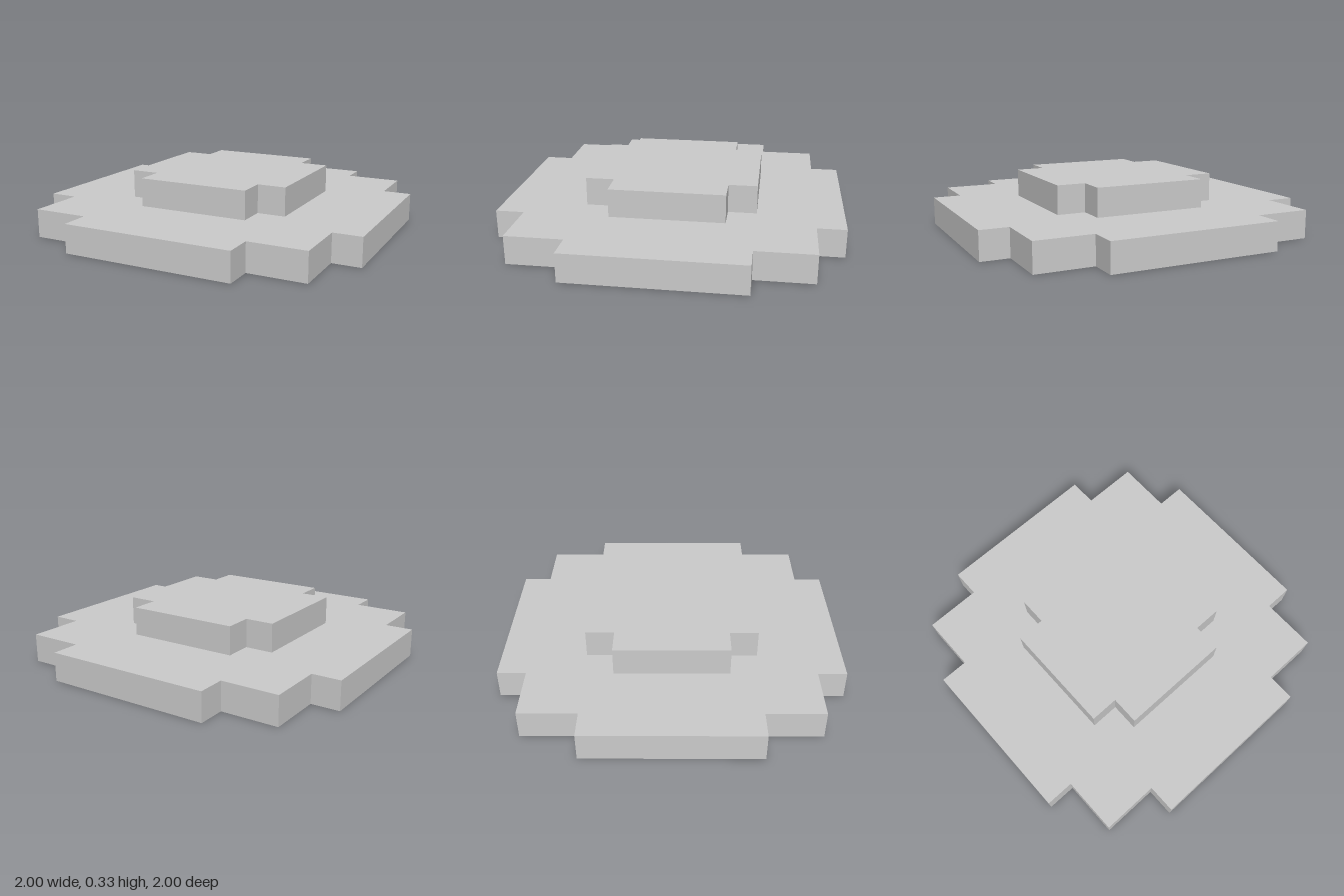
import * as THREE from 'three';

const U = 1 / 6; // one block unit

// Stepped slab: corner points of one quadrant (in units), turned four times about the centre
function steppedSlab(name, corner, bottom, material) {
  const points = [];
  for (let turn = 0; turn < 4; turn++) {
    for (const [x, y] of corner) {
      points.push(new THREE.Vector2(x * U, y * U).rotateAround(new THREE.Vector2(), turn * Math.PI / 2));
    }
  }
  const geometry = new THREE.ExtrudeGeometry(new THREE.Shape(points), { depth: U, bevelEnabled: false });
  geometry.rotateX(-Math.PI / 2);
  const mesh = new THREE.Mesh(geometry, material);
  mesh.name = name;
  mesh.position.y = bottom * U;
  return mesh;
}

export function createModel() {
  const group = new THREE.Group();
  group.name = 'steppedDisc';
  const material = new THREE.MeshStandardMaterial({ color: 0xcccccc, flatShading: true });

  // Wide lower tier, two steps at each corner
  group.add(steppedSlab('lowerTier', [[6, 3], [5, 3], [5, 5], [3, 5], [3, 6]], 0, material));
  // Small upper tier, one notch at each corner
  group.add(steppedSlab('upperTier', [[3, 2], [2, 2], [2, 3]], 1, material));
  return group;
}
